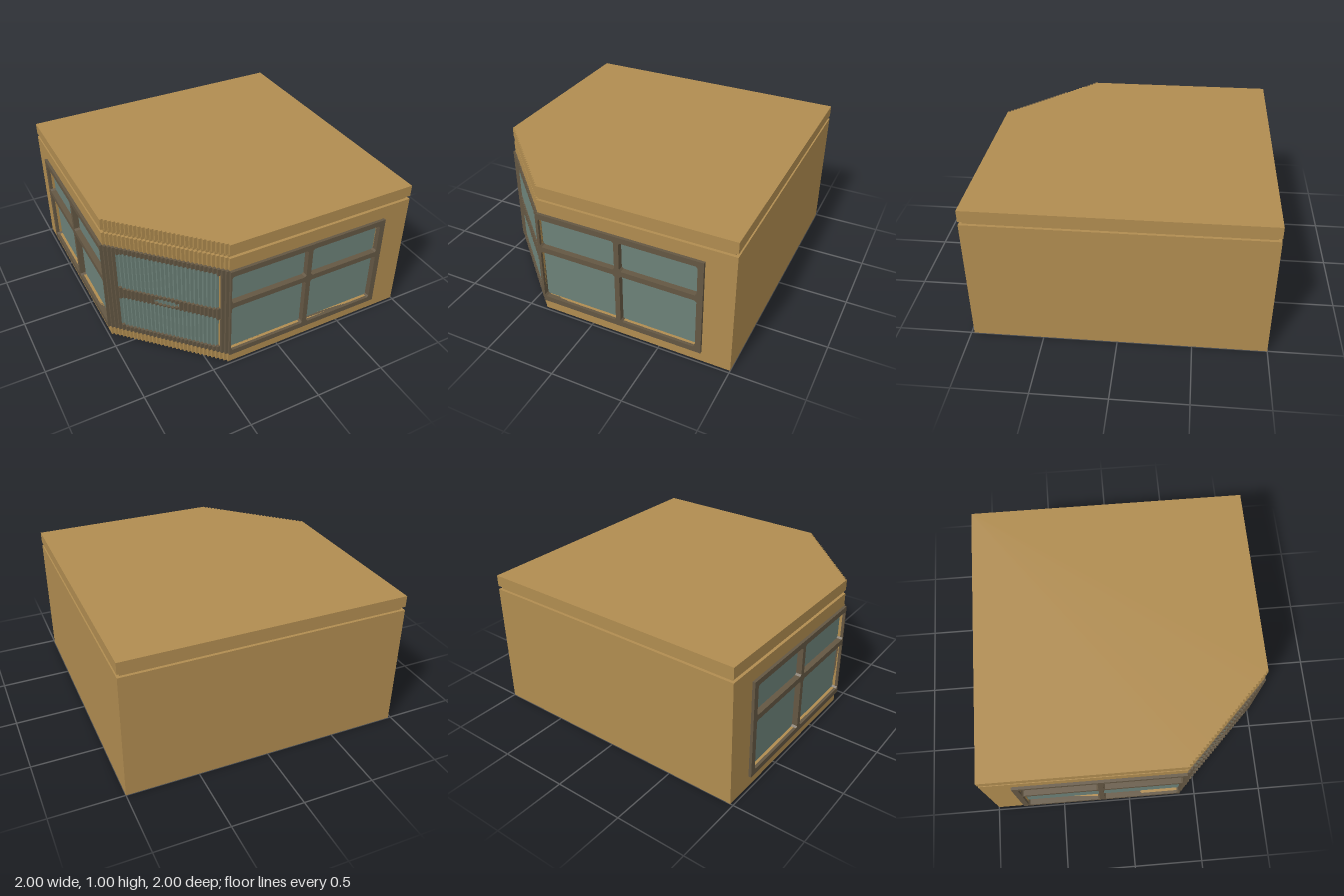
import * as THREE from 'three';
import { mergeGeometries } from 'three/addons/utils/BufferGeometryUtils.js';

const STEP = 0.02, STEPS = 30;
const stepX = (i) => -0.98 + STEP * i;   // left edge of a step column
const stepZ = (i) => 0.38 + STEP * i;    // wall face of a step column
const glazedStep = (i) => i >= 3 && i <= 27;

function material(name, color) {
  const m = new THREE.MeshStandardMaterial({ color });
  m.name = name;
  return m;
}

// Floor outline as [x, z] pairs, with the stepped diagonal corner
function plan(inset, glazed) {
  const p = [];
  for (let i = inset ? 1 : 0; i < STEPS; i++) {
    const z = stepZ(i) - inset - (glazed && glazedStep(i) ? STEP : 0);
    p.push([stepX(i), z], [stepX(i + 1), z]);
  }
  p.push([-0.38, 0.98 - inset]);
  if (glazed) p.push([-0.37, 0.98], [-0.37, 0.94], [0.76, 0.94], [0.76, 0.98]);
  p.push([1 - inset, 0.98 - inset], [1 - inset, -1 + inset], [-0.98 + inset, -1 + inset]);
  if (glazed) p.push([-0.98, -0.76], [-0.94, -0.76], [-0.94, 0.37], [-0.98, 0.37]);
  p.push([-0.98 + inset, 0.38 - inset]);
  return p;
}

// One horizontal layer of the building
function layer(y0, y1, inset = 0, glazed = false) {
  const shape = new THREE.Shape(plan(inset, glazed).map(([x, z]) => new THREE.Vector2(x, -z)));
  const g = new THREE.ExtrudeGeometry(shape, { depth: y1 - y0, bevelEnabled: false });
  return g.rotateX(-Math.PI / 2).translate(0, y0, 0);
}

function box(x0, x1, y0, y1, z0, z1) {
  return new THREE.BoxGeometry(x1 - x0, y1 - y0, z1 - z0)
    .translate((x0 + x1) / 2, (y0 + y1) / 2, (z0 + z1) / 2);
}

// Rectangle with small chamfered corners, used for pane openings
function opening(x0, x1, y0, y1, c = 0.012) {
  return new THREE.Path([
    [x0 + c, y0], [x1 - c, y0], [x1, y0 + c], [x1, y1 - c],
    [x1 - c, y1], [x0 + c, y1], [x0, y1 - c], [x0, y0 + c], [x0 + c, y0],
  ].map(([x, y]) => new THREE.Vector2(x, y)));
}

// Four-pane window facing +z; flip mirrors it left to right
function windowGroup(name, flip, frameMat, glassMat) {
  const range = (a, b) => (flip ? [-b, -a] : [a, b]);
  const [l, r] = range(-0.38, 0.8);
  const shape = new THREE.Shape([[l, 0.08], [r, 0.08], [r, 0.8], [l, 0.8]]
    .map(([x, y]) => new THREE.Vector2(x, y)));
  for (const [a, b] of [[-0.37, 0.19], [0.225, 0.76]])
    for (const [y0, y1] of [[0.12, 0.5], [0.54, 0.76]])
      shape.holes.push(opening(...range(a, b), y0, y1));
  const frame = new THREE.Mesh(
    new THREE.ExtrudeGeometry(shape, { depth: 0.04, bevelEnabled: false }).translate(0, 0, 0.96), frameMat);
  frame.name = 'windowFrame';
  const glass = new THREE.Mesh(box(...range(-0.37, 0.76), 0.12, 0.76, 0.94, 0.96), glassMat);
  glass.name = 'windowGlass';
  const g = new THREE.Group();
  g.name = name;
  g.add(frame, glass);
  return g;
}

// Glazed door following the steps of the cut corner
function cornerDoor(frameMat, glassMat) {
  const frame = [], glass = [];
  for (let i = 0; i < STEPS; i++) {
    const x0 = stepX(i), x1 = stepX(i + 1), z = stepZ(i);
    const bar = (y0, y1) => frame.push(box(x0, x1, y0, y1, z, z + STEP));
    if (!glazedStep(i)) {
      bar(0.08, 0.8); // stile
      continue;
    }
    const end = i === 3 || i === 27 ? 0.01 : 0; // softened pane corners
    bar(0.08, 0.12 + end);
    bar(0.76 - end, 0.8);
    // middle rail with a handle slot
    if (i >= 12 && i <= 17) {
      const c = i === 12 || i === 17 ? 0.008 : 0;
      bar(0.385, 0.395 + c);
      bar(0.44 - c, 0.46);
    } else bar(0.385 - end, 0.46 + end);
    glass.push(box(x0, x1, 0.12, 0.76, z - STEP, z));
  }
  const g = new THREE.Group();
  g.name = 'cornerDoor';
  const f = new THREE.Mesh(mergeGeometries(frame), frameMat);
  f.name = 'doorFrame';
  const p = new THREE.Mesh(mergeGeometries(glass), glassMat);
  p.name = 'doorGlass';
  g.add(f, p);
  return g;
}

export function createModel() {
  const wall = material('tan wall', 0xb08c50);
  const frame = material('dark brown frame', 0x645743);
  const glass = material('grey green glass', 0x6c8178);

  const model = new THREE.Group();
  model.name = 'cornerBuilding';

  // Walls, shadow groove and roof slab
  const layers = [
    ['wallBase', 0, 0.12, 0, false],
    ['wallGlazed', 0.12, 0.76, 0, true],
    ['wallTop', 0.76, 0.895, 0, false],
    ['roofGroove', 0.895, 0.92, 0.02, false],
    ['roofSlab', 0.92, 1, 0, false],
  ];
  for (const [name, ...args] of layers) {
    const m = new THREE.Mesh(layer(...args), wall);
    m.name = name;
    model.add(m);
  }

  // Windows on both sides of the cut corner, and the door across it
  const front = windowGroup('frontWindow', false, frame, glass);
  const side = windowGroup('sideWindow', true, frame, glass);
  side.rotation.y = -Math.PI / 2;
  model.add(front, side, cornerDoor(frame, glass));
  return model;
}
